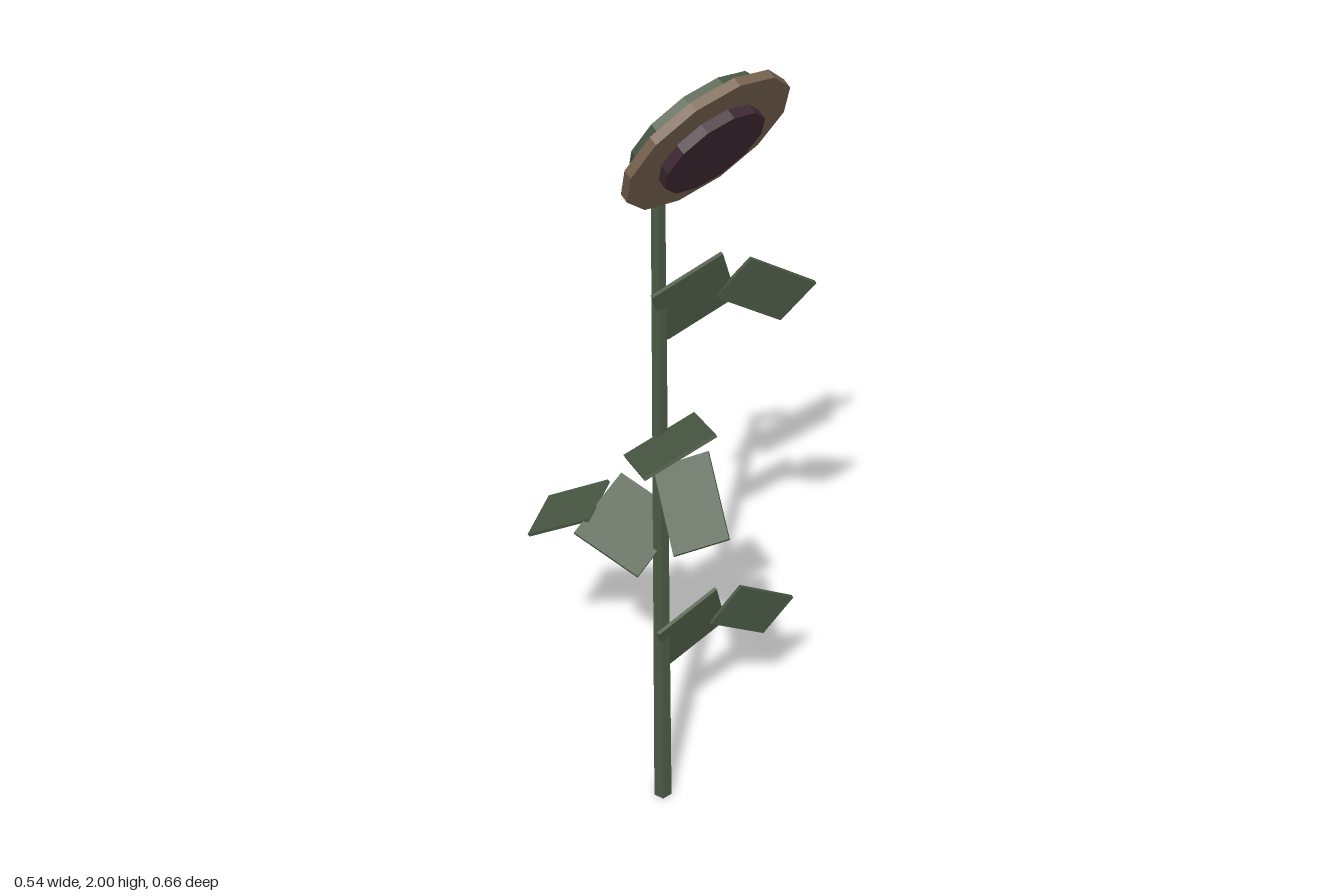
import * as THREE from 'three';

const V = (p) => new THREE.Vector3(...p);

export function createModel() {
  const mat = (name, color) => {
    const m = new THREE.MeshStandardMaterial({ color, flatShading: true });
    m.name = name;
    return m;
  };
  const green = mat('leaf green', 0x4b5a45);
  const brown = mat('petal brown', 0x7a6450);
  const purple = mat('seed purple', 0x402a33);

  const model = new THREE.Group();
  model.name = 'flower';
  const add = (parent, name, geometry, material) => {
    const mesh = new THREE.Mesh(geometry, material);
    mesh.name = name;
    parent.add(mesh);
    return mesh;
  };

  // Five-sided stem whose top segment bends forward with a mitred joint
  const bendY = 1.745, bend = 0.7, neck = 0.15;
  const stem = new THREE.CylinderGeometry(1, 1, 2, 5, 2, false, Math.PI);
  const p = stem.attributes.position;
  for (let i = 0; i < p.count; i++) {
    const x = p.getX(i), z = p.getZ(i), ring = Math.round(p.getY(i));
    if (ring < 0) p.setXYZ(i, x * 0.021, 0, z * 0.021);
    else if (ring === 0) p.setXYZ(i, x * 0.0145, bendY - z * 0.0145 * Math.tan(bend / 2), z * 0.0145);
    else {
      const r = z * 0.0145, c = Math.cos(bend), s = Math.sin(bend);
      p.setXYZ(i, x * 0.0145, bendY + neck * c - r * s, neck * s + r * c);
    }
  }
  stem.computeVertexNormals();
  add(model, 'stem', stem, green).position.x = -0.082;

  // Flower head: stacked discs along the head's axis, facing forward and down
  const head = new THREE.Group();
  head.name = 'flowerHead';
  head.position.set(-0.081, 1.834, 0.134);
  head.rotation.x = 2.059;
  model.add(head);
  const disc = (name, radius, from, to, material) => {
    add(head, name, new THREE.CylinderGeometry(radius, radius, to - from, 12), material)
      .position.y = (from + to) / 2;
  };
  disc('calyx', 0.15, -0.031, 0, green);
  disc('petalRing', 0.1885, 0, 0.02, brown);
  disc('seedDisc', 0.115, 0.02, 0.042, purple);

  // Thin rectangular plate given three consecutive corners
  const plate = (parent, name, a, b, c) => {
    const A = V(a), B = V(b), C = V(c);
    const u = B.clone().sub(A), v = C.clone().sub(B);
    const w = u.length(), h = v.length();
    u.normalize();
    const n = u.clone().cross(v).normalize();
    v.crossVectors(n, u);
    const mesh = add(parent, name, new THREE.BoxGeometry(w, h, 0.008), green);
    mesh.quaternion.setFromRotationMatrix(new THREE.Matrix4().makeBasis(u, v, n));
    mesh.position.copy(A).add(C).multiplyScalar(0.5);
  };
  const leaf = (name, inner, outer) => {
    const g = new THREE.Group();
    g.name = name;
    plate(g, name + 'Base', ...inner);
    plate(g, name + 'Tip', ...outer);
    model.add(g);
  };

  // Four folded leaves, from top to bottom
  leaf('topLeaf',
    [[-0.05, 1.273, -0.014], [-0.113, 1.42, 0.016], [0.04, 1.48, 0.052]],
    [[0.103, 1.448, 0.066], [0.253, 1.342, 0.1], [0.2, 1.247, 0.055]]);
  leaf('frontLeaf',
    [[-0.222, 1.075, 0.122], [-0.066, 1.137, 0.165], [-0.006, 1.08, 0.022]],
    [[-0.256, 0.976, 0.257], [-0.169, 1.019, 0.327], [-0.1, 1.12, 0.179]]);
  leaf('backLeaf',
    [[-0.212, 0.769, -0.134], [-0.053, 0.833, -0.168], [-0.005, 0.775, -0.016]],
    [[-0.233, 0.679, -0.277], [-0.133, 0.705, -0.33], [-0.081, 0.817, -0.179]]);
  leaf('bottomLeaf',
    [[-0.05, 0.371, -0.018], [-0.108, 0.52, 0.02], [0.045, 0.58, 0.035]],
    [[0.113, 0.55, 0.038], [0.263, 0.444, 0.048], [0.203, 0.349, 0.019]]);

  return model;
}
